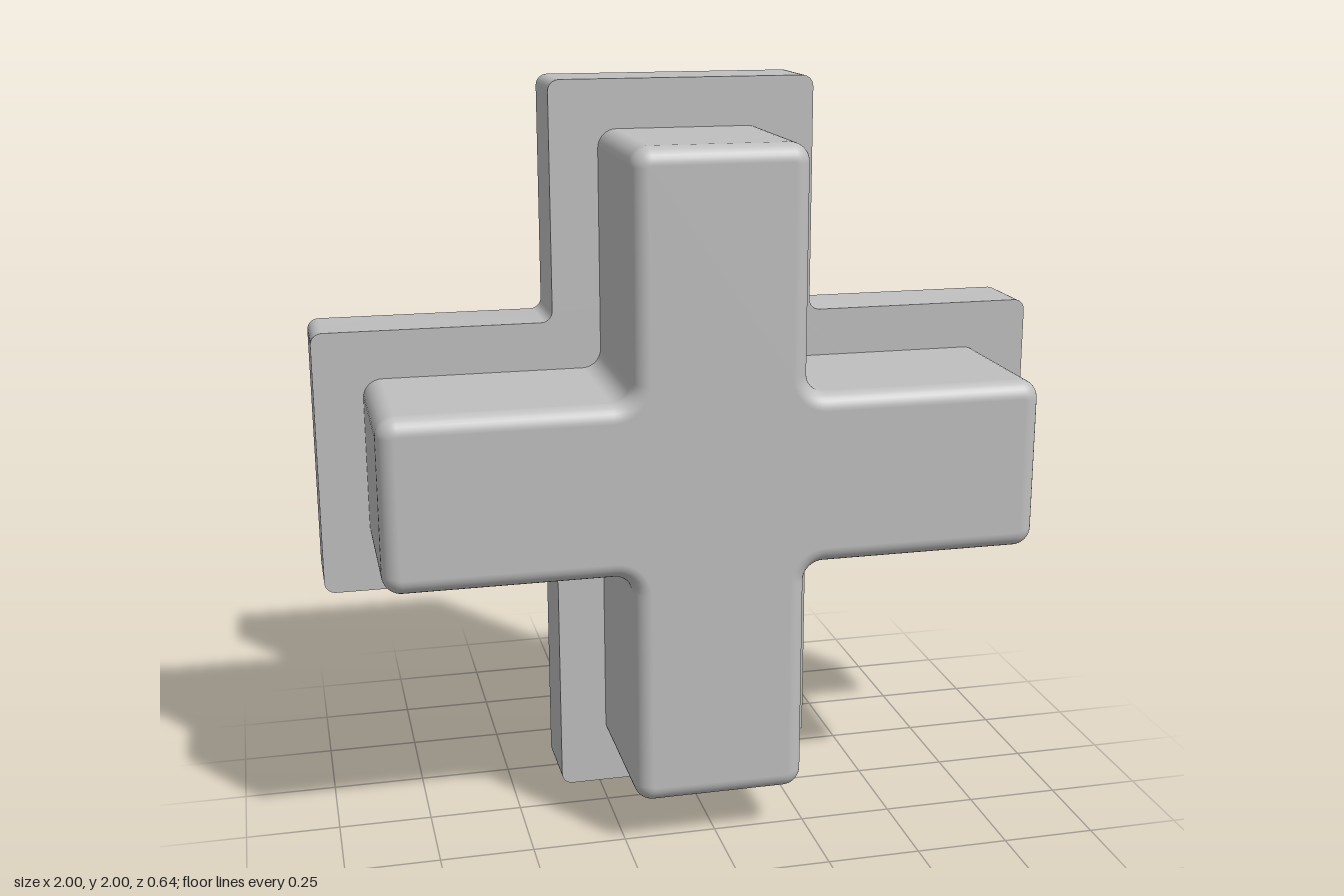
import * as THREE from 'three';
import { toCreasedNormals } from 'three/addons/utils/BufferGeometryUtils.js';

// Rounded plus outline, counter-clockwise: points p with outward directions n
function crossOutline(arm, reach, r, steps = 8) {
  const out = [];
  const corners = [
    { c: [reach - r, -arm + r], from: -Math.PI / 2, to: 0, side: 1 },
    { c: [reach - r, arm - r], from: 0, to: Math.PI / 2, side: 1 },
    { c: [arm + r, arm + r], from: Math.PI / 2, to: 0, side: -1 },
  ];
  const origin = new THREE.Vector2();
  for (let q = 0; q < 4; q++) {
    corners.forEach(({ c, from, to, side }, corner) => {
      for (let i = 0; i <= steps; i++) {
        const a = from + (to - from) * i / steps;
        const n = new THREE.Vector2(Math.cos(a), Math.sin(a));
        const p = new THREE.Vector2(...c).addScaledVector(n, side * r);
        n.rotateAround(origin, q * Math.PI / 2);
        p.rotateAround(origin, q * Math.PI / 2);
        out.push({ p, n, q, corner });
      }
    });
  }
  return out;
}

// Side walls with a rounded front edge, made of stacked outlines
function roundedWall(outline, zBack, zFront, r, steps = 8) {
  const rings = [{ z: zBack, t: 0 }];
  for (let i = 0; i <= steps; i++) {
    const t = Math.PI / 2 * i / steps;
    rings.push({ z: zFront - r + r * Math.sin(t), t });
  }
  const pos = [], nor = [], idx = [], count = outline.length;
  rings.forEach(({ z, t }, k) => {
    const inset = r * (1 - Math.cos(t));
    outline.forEach(({ p, n }, i) => {
      pos.push(p.x - n.x * inset, p.y - n.y * inset, z);
      nor.push(n.x * Math.cos(t), n.y * Math.cos(t), Math.sin(t));
      if (k === 0) return;
      const j = (i + 1) % count, lo = (k - 1) * count, hi = k * count;
      idx.push(lo + i, lo + j, hi + j, lo + i, hi + j, hi + i);
    });
  });
  const g = new THREE.BufferGeometry();
  g.setAttribute('position', new THREE.Float32BufferAttribute(pos, 3));
  g.setAttribute('normal', new THREE.Float32BufferAttribute(nor, 3));
  g.setIndex(idx);
  return g;
}

export function createModel() {
  const grey = new THREE.MeshStandardMaterial({ color: 0xbfbfbf });
  grey.name = 'grey';
  const model = new THREE.Group();
  model.name = 'crossBlock';
  const add = (name, geometry) => {
    const mesh = new THREE.Mesh(geometry, grey);
    mesh.name = name;
    mesh.position.y = 1;
    model.add(mesh);
    return mesh;
  };

  const back = -0.32, seam = -0.12, front = 0.32;
  const holes = [[0, 0], [0.55, 0], [-0.55, 0], [0, 0.55], [0, -0.55]];
  const bore = 0.135, rim = 0.15;

  // Base plate, with a scooped notch in one bottom corner
  const arm = 0.36;
  const notch = new THREE.QuadraticBezierCurve(
    new THREE.Vector2(arm - 0.1, -1),
    new THREE.Vector2(arm - 0.065, -0.935),
    new THREE.Vector2(arm, -0.9)).getPoints(8);
  const points = crossOutline(arm, 1, 0.03, 6).map(({ p, q, corner }, i, all) => {
    if (q !== 3 || corner !== 1) return [p];
    return all[i - 1].corner === 0 ? notch : [];
  }).flat();
  const plate = new THREE.Shape(points);
  holes.forEach(([x, y], i) => {
    plate.holes.push(new THREE.Path().absarc(x, y, i ? rim : bore, 0, Math.PI * 2, true));
  });
  const plateGeometry = new THREE.ExtrudeGeometry(plate, {
    depth: seam - back, bevelEnabled: false, curveSegments: 20,
  });
  plateGeometry.translate(0, 0, back);
  add('basePlate', toCreasedNormals(plateGeometry, 0.6));

  // Raised block with soft front edges
  const edge = 0.045;
  const outline = crossOutline(0.23, 0.87, 0.05);
  add('blockWall', roundedWall(outline, seam, front, edge));
  const face = new THREE.ShapeGeometry(new THREE.Shape(
    outline.map(({ p, n }) => p.clone().addScaledVector(n, -edge))));
  face.translate(0, 0, front);
  add('blockFace', face);

  // Blind holes in the back; the outer four have a chamfered rim
  holes.forEach(([x, y], i) => {
    const profile = [[0, 0.2], [bore, 0.2], [bore, 0.02], [i ? rim : bore, 0]];
    const lining = new THREE.LatheGeometry(
      profile.map(([r, h]) => new THREE.Vector2(r, h)), 40);
    lining.rotateX(Math.PI / 2);
    add(i ? 'outerHole' : 'centreHole', toCreasedNormals(lining, 0.5))
      .position.set(x, 1 + y, back);
  });
  return model;
}
